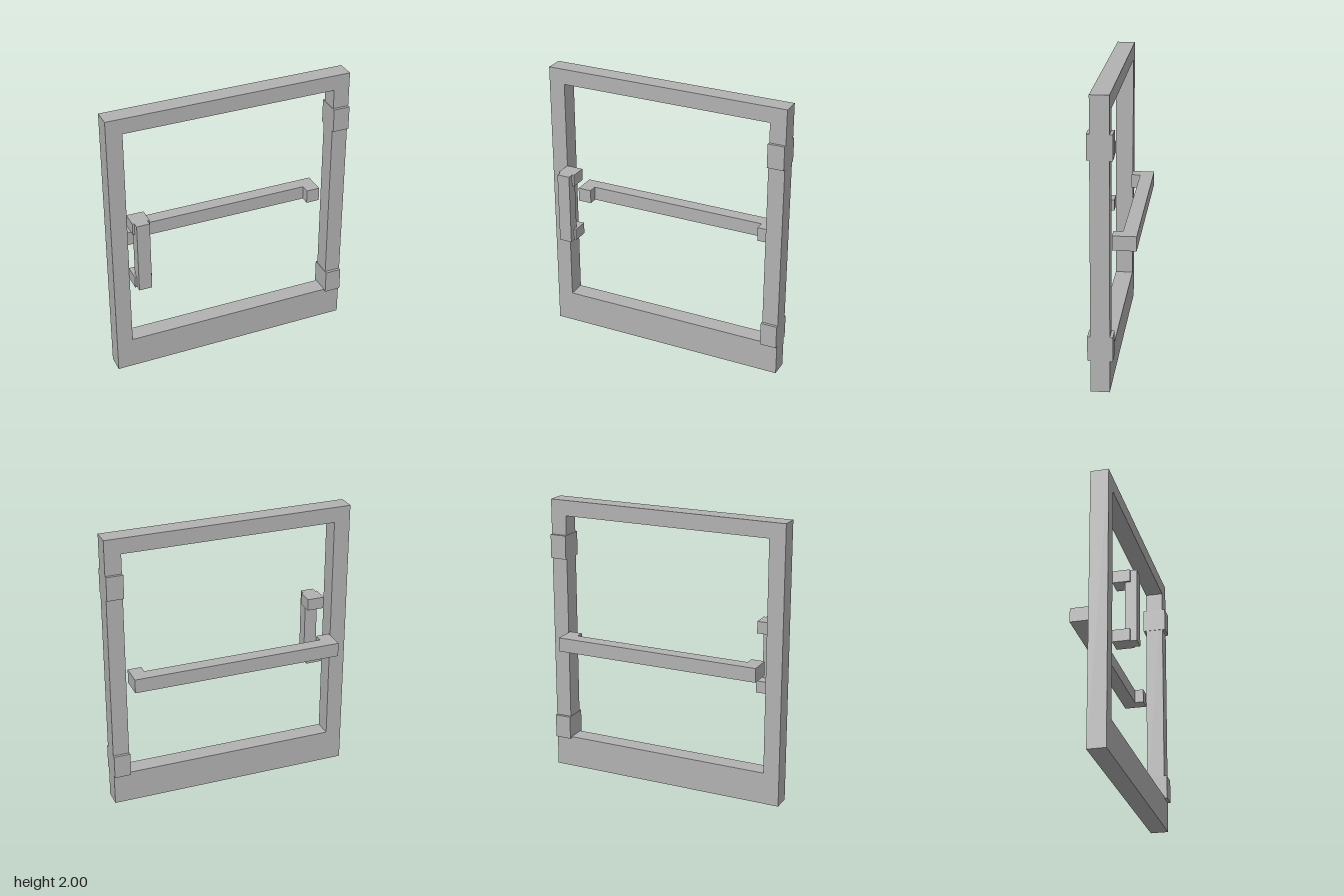
import * as THREE from 'three';

export function createModel() {
  const group = new THREE.Group();
  const grey = new THREE.MeshStandardMaterial({ color: 0xb2b2b2 });
  grey.name = 'plain grey';

  const add = (name, geometry) => {
    const mesh = new THREE.Mesh(geometry, grey);
    mesh.name = name;
    group.add(mesh);
    return mesh;
  };
  // Box given by its extents on each axis
  const box = (name, [x0, x1], [y0, y1], [z0, z1]) =>
    add(name, new THREE.BoxGeometry(x1 - x0, y1 - y0, z1 - z0))
      .position.set((x0 + x1) / 2, (y0 + y1) / 2, (z0 + z1) / 2);
  const outline = (points) => points.map(([x, y]) => new THREE.Vector2(x, y));
  const rect = (x0, x1, y0, y1) => outline([[x0, y0], [x1, y0], [x1, y1], [x0, y1]]);
  const extrude = (shape, depth) =>
    new THREE.ExtrudeGeometry(shape, { depth, bevelEnabled: false });

  // Door frame with a deeper bottom rail
  const halfDepth = 0.064;
  const frame = new THREE.Shape(rect(-0.875, 0.875, 0, 2));
  frame.holes.push(new THREE.Path(rect(-0.76, 0.76, 0.23, 1.89)));
  add('frame', extrude(frame, halfDepth * 2).translate(0, 0, -halfDepth));

  // Hinge blocks wrapping the left stile
  box('upperHinge', [0.757, 0.875], [1.58, 1.75], [-0.084, 0.084]);
  box('lowerHinge', [0.757, 0.875], [0.22, 0.39], [-0.084, 0.084]);

  // Upright pull handle on the front
  box('handleGrip', [-0.748, -0.656], [0.763, 1.275], [0.145, 0.225]);
  box('upperHandleMount', [-0.762, -0.64], [1.19, 1.275], [halfDepth, 0.182]);
  box('lowerHandleMount', [-0.762, -0.64], [0.763, 0.847], [halfDepth, 0.182]);

  // Horizontal push bar on the back, bent towards the frame at both ends
  const bar = new THREE.Shape(outline([
    [-0.75, 0.064], [-0.652, 0.064], [-0.652, 0.128], [0.65, 0.128],
    [0.65, 0.064], [0.747, 0.064], [0.747, 0.225], [-0.75, 0.225],
  ]));
  add('pushBar', extrude(bar, 0.1).rotateX(-Math.PI / 2).translate(0, 0.945, 0));

  return group;
}
